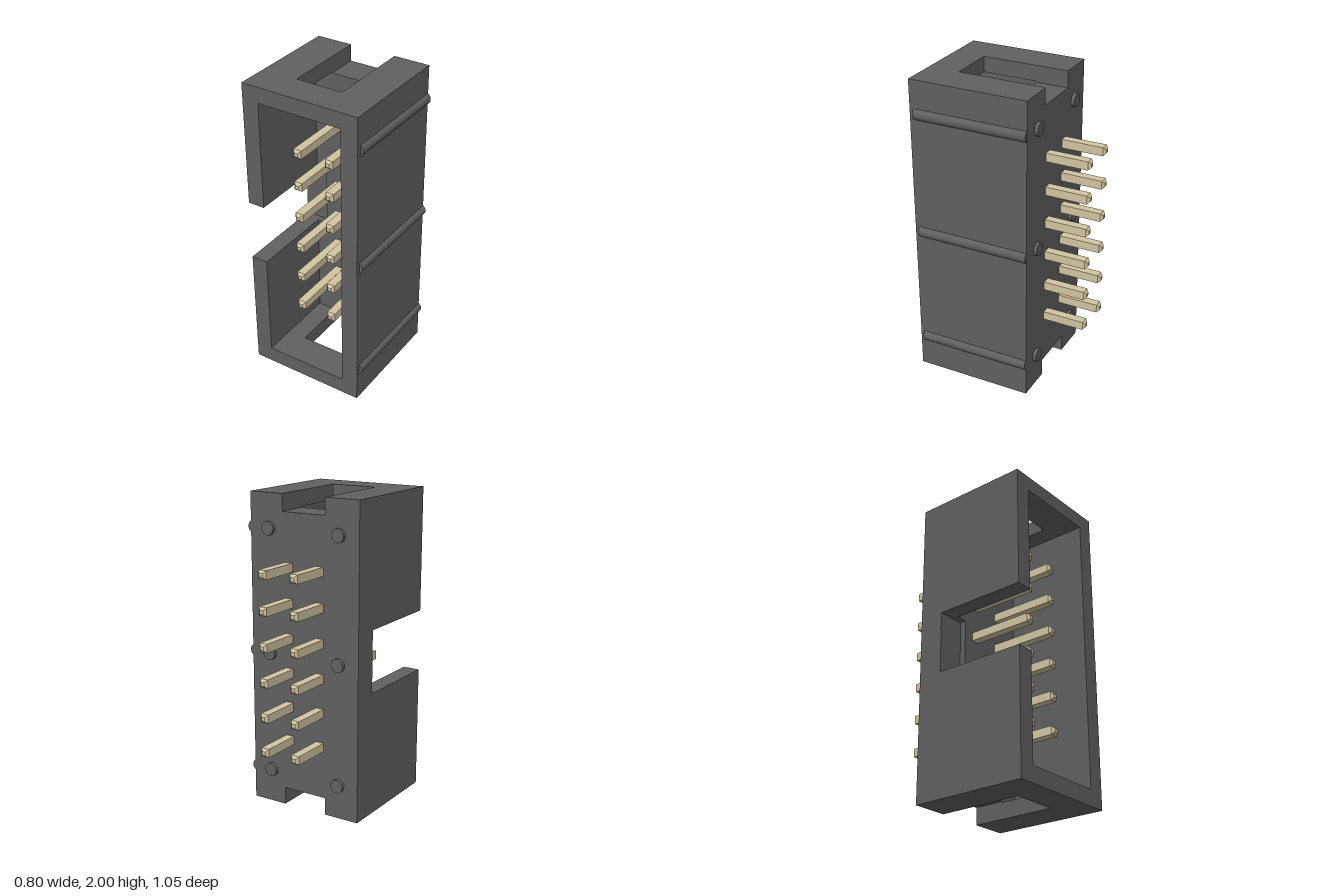
import * as THREE from 'three';

const bodyMat = new THREE.MeshStandardMaterial({ color: 0x606060 });
const pinMat = new THREE.MeshStandardMaterial({ color: 0xd2c4a0 });

// Main outline (L, R, H), cavity, end windows and keyway limits
const L = -0.4, R = 0.375, H = 2;
const cavL = -0.29, cavR = 0.265, cavB = 0.105, cavT = 1.9;
const winL = -0.165, winR = 0.14;
const keyB = 0.8, keyT = 1.2, keyX = -0.22;
const zBack = -0.245, zKey = -0.08, zFloor = -0.04, zWin = 0.32, zFront = 0.525;
const slotB = 0.112, slotT = 1.893;

export function createModel() {
  const model = new THREE.Group();

  const add = (parent, name, geometry, material, x = 0, y = 0, z = 0) => {
    const mesh = new THREE.Mesh(geometry, material);
    mesh.name = name;
    mesh.position.set(x, y, z);
    parent.add(mesh);
  };

  // Housing: slices of constant section stacked from back to front
  const housing = new THREE.Group();
  housing.name = 'housing';
  model.add(housing);
  const slice = (name, z0, z1, ...outlines) => {
    const shapes = outlines.map(o => new THREE.Shape(o.map(([x, y]) => new THREE.Vector2(x, y))));
    const g = new THREE.ExtrudeGeometry(shapes, { depth: z1 - z0, bevelEnabled: false });
    add(housing, name, g, bodyMat, 0, 0, z0);
  };

  // Base plate with a slot at each end; its front skin also carries the keyway
  const slotted = [
    [L, 0], [winL, 0], [winL, slotB], [winR, slotB], [winR, 0], [R, 0],
    [R, H], [winR, H], [winR, slotT], [winL, slotT], [winL, H], [L, H],
  ];
  const keyway = [[L, keyT], [keyX, keyT], [keyX, keyB], [L, keyB]];
  slice('basePlate', zBack, zKey, slotted);
  slice('basePlateKeyed', zKey, zFloor, [...slotted, ...keyway]);

  // Shroud walls beside the end windows
  slice('shroudWalls', zFloor, zWin,
    [[winR, 0], [R, 0], [R, H], [winR, H], [winR, cavT], [cavR, cavT], [cavR, cavB], [winR, cavB]],
    [[L, 0], [winL, 0], [winL, cavB], [cavL, cavB], [cavL, keyB], [L, keyB]],
    [[L, keyT], [cavL, keyT], [cavL, cavT], [winL, cavT], [winL, H], [L, H]]);

  // Front rim, open at the keyway
  slice('shroudRim', zWin, zFront, [
    [L, 0], [R, 0], [R, H], [L, H], [L, keyT], [cavL, keyT],
    [cavL, cavT], [cavR, cavT], [cavR, cavB], [cavL, cavB], [cavL, keyB], [L, keyB],
  ]);

  // Round side ribs and the standoff pegs on the back
  const ribG = new THREE.CylinderGeometry(0.04, 0.04, 0.742, 32).rotateX(Math.PI / 2);
  const pegG = new THREE.CylinderGeometry(0.043, 0.043, 0.04, 32).rotateX(Math.PI / 2);
  for (const y of [0.22, 1, 1.785]) {
    add(housing, 'sideRib', ribG, bodyMat, 0.355, y, 0.127);
    for (const x of [-0.262, 0.238]) add(housing, 'standoffPeg', pegG, bodyMat, x, y, -0.247);
  }

  // Square pins with chamfered tips, two columns of six
  const pins = new THREE.Group();
  pins.name = 'pins';
  model.add(pins);
  const profile = [[0, -0.53], [0.012, -0.53], [0.0275, -0.514], [0.0275, 0.392], [0.012, 0.408], [0, 0.408]]
    .map(([r, z]) => new THREE.Vector2(r * Math.SQRT2, z));
  let pinG = new THREE.LatheGeometry(profile, 4, Math.PI / 4).rotateX(Math.PI / 2).toNonIndexed();
  pinG.computeVertexNormals();
  for (let i = 0; i < 6; i++) {
    for (const x of [-0.125, 0.097]) add(pins, 'pin', pinG, pinMat, x, 0.45 + i * 0.2217, 0);
  }
  return model;
}
